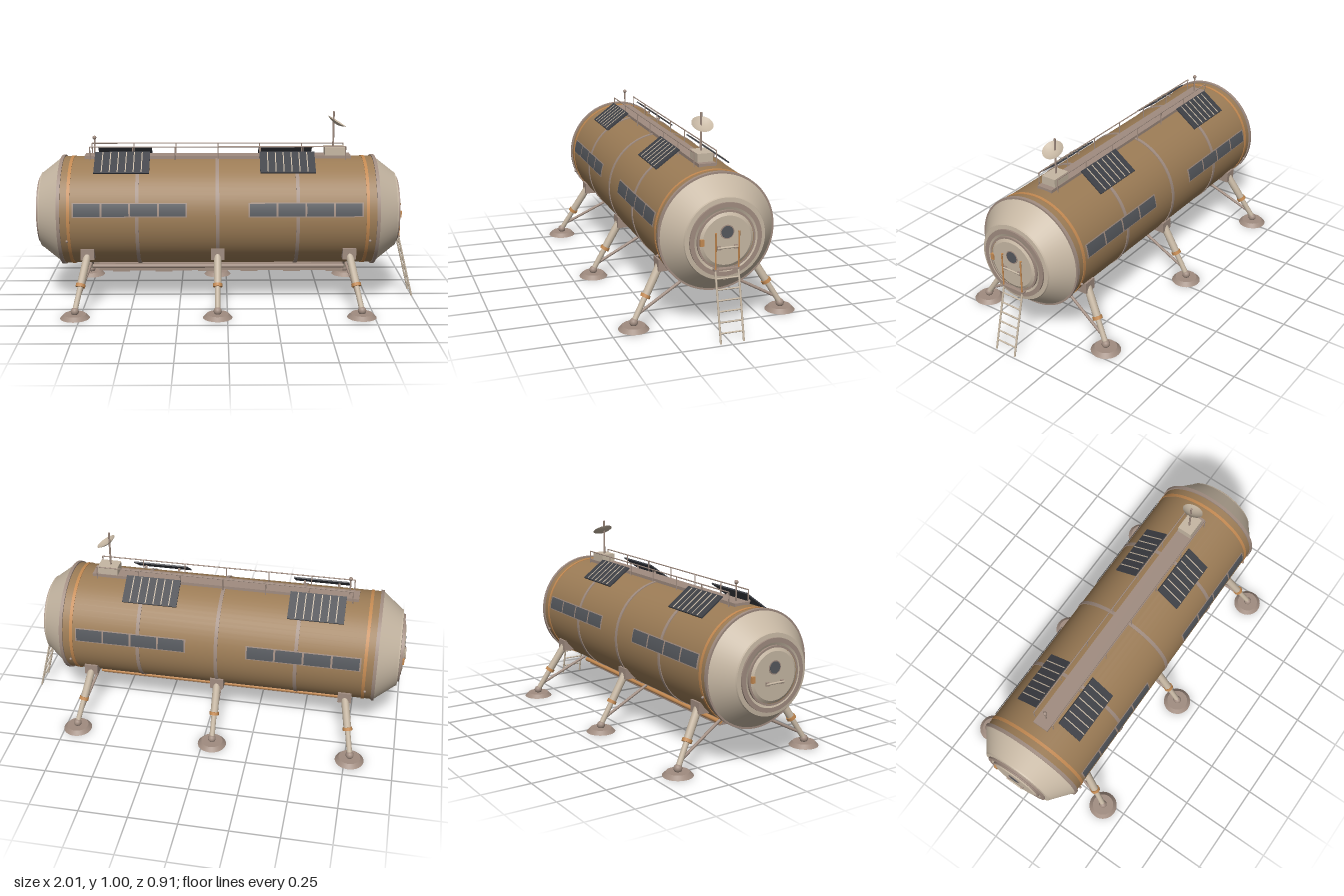
import * as THREE from 'three';

const mat = (name, color, side = THREE.FrontSide) => {
  const m = new THREE.MeshStandardMaterial({ color, side });
  m.name = name;
  return m;
};

export function createModel() {
  const model = new THREE.Group();
  model.name = 'habitatModule';
  const hull = mat('hullTan', 0x9c7c56);
  const cream = mat('creamMetal', 0xc6b7a3, THREE.DoubleSide);
  const trim = mat('trimGrey', 0xa08c80);
  const orange = mat('copperOrange', 0xc48a52);
  const glass = mat('windowGlass', 0x55585d, THREE.DoubleSide);
  const solar = mat('solarCell', 0x3e4046);

  const AXIS = 0.477, R = 0.283, MID = -0.045;
  const V = (x, y, z) => new THREE.Vector3(x, y, z);

  const add = (name, geo, m, parent = model) => {
    const mesh = new THREE.Mesh(geo, m);
    mesh.name = name;
    parent.add(mesh);
    return mesh;
  };
  const box = (name, m, w, h, d, x, y, z, parent) => {
    const b = add(name, new THREE.BoxGeometry(w, h, d), m, parent);
    b.position.set(x, y, z);
    return b;
  };
  const ball = (name, m, r, x, y, z, parent) => {
    const s = add(name, new THREE.SphereGeometry(r, 16, 12), m, parent);
    s.position.set(x, y, z);
    return s;
  };
  // round bar between two points
  const rod = (name, m, a, b, r, parent, r2 = r) => {
    const d = b.clone().sub(a);
    const c = add(name, new THREE.CylinderGeometry(r2, r, d.length(), 14), m, parent);
    c.position.copy(a).addScaledVector(d, 0.5);
    c.quaternion.setFromUnitVectors(V(0, 1, 0), d.normalize());
    return c;
  };
  // drum lying along x
  const drum = (name, m, r, x, width) => {
    const c = add(name, new THREE.CylinderGeometry(r, r, width, 64).rotateZ(Math.PI / 2), m);
    c.position.set(x, AXIS, 0);
    return c;
  };

  // pressure hull and its bands
  drum('hull', hull, R, MID, 1.63);
  [-0.46, -0.05, 0.36].forEach(x => drum('hullRib', trim, R + 0.004, x, 0.018));
  [-0.81, 0.717].forEach(x => drum('copperBand', orange, R + 0.003, x, 0.016));

  // curved plate on the hull, angles measured up from the side
  const plate = (name, m, r, x, w, a0, a1, side) => {
    const start = side > 0 ? a0 : Math.PI - a1;
    const g = new THREE.CylinderGeometry(r, r, w, 8, 1, true, start, a1 - a0).rotateZ(Math.PI / 2);
    add(name, g, m).position.set(x, AXIS, 0);
  };

  for (const side of [1, -1]) {
    // window strips
    for (const x0 of [-0.79, 0.107]) {
      plate('windowFrame', trim, R + 0.003, x0 + 0.293, 0.586, 0.081, 0.343, side);
      for (let i = 0; i < 4; i++)
        plate('windowPane', glass, R + 0.005, x0 + 0.0755 + i * 0.145, 0.135, 0.1, 0.324, side);
    }
    // side lamps
    [-0.82, 0.73].forEach(x => ball('sideLamp', trim, 0.007, x, 0.373, side * 0.275));

    // tilted solar panels
    for (const x of [-0.542, 0.312]) {
      const panel = new THREE.Group();
      panel.name = 'solarPanel';
      panel.position.set(x, 0.754, side * 0.13);
      panel.rotation.x = side * 0.628;
      box('panelBase', solar, 0.285, 0.007, 0.149, 0, 0, 0, panel);
      for (let i = 0; i < 6; i++)
        box('panelStripe', cream, 0.005, 0.003, 0.14, -0.102 + i * 0.0408, 0.004, 0, panel);
      model.add(panel);
      for (const dx of [-0.09, 0.09])
        rod('panelStrut', trim, V(x + dx, 0.715, side * 0.115), V(x + dx, 0.75, side * 0.13), 0.006);
    }

    // walkway railing
    rod('railing', trim, V(-0.715, 0.823, side * 0.057), V(0.62, 0.823, side * 0.057), 0.003);
    for (let i = 0; i < 7; i++) {
      const x = -0.715 + i * 0.2225;
      rod('railingPost', trim, V(x, 0.745, side * 0.057), V(x, 0.823, side * 0.057), 0.0028);
    }

    // service pipe under the belly
    rod('bellyPipe', side > 0 ? trim : orange, V(-0.71, 0.188, side * 0.091), V(0.62, 0.188, side * 0.091), 0.011);

    // landing legs
    for (const [x, footX] of [[-0.72, -0.776], [-0.05, -0.05], [0.63, 0.685]]) {
      const leg = new THREE.Group();
      leg.name = 'landingLeg';
      model.add(leg);
      const top = V(x, 0.295, side * 0.228), foot = V(footX, 0.035, side * 0.38);
      const at = t => top.clone().lerp(foot, t);
      box('legBracket', trim, 0.07, 0.058, 0.06, x, 0.295, side * 0.219, leg);
      rod('upperStrut', cream, top, at(0.56), 0.02, leg);
      rod('strutCollar', orange, at(0.53), at(0.585), 0.025, leg);
      rod('lowerStrut', cream, at(0.56), foot, 0.014, leg);
      rod('legBrace', trim, V(x, 0.205, side * 0.1), at(0.88), 0.0075, leg);
      ball('ankleBall', trim, 0.021, foot.x, 0.034, foot.z, leg);
      const pad = add('footPad', new THREE.CylinderGeometry(0.056, 0.075, 0.02, 32), trim, leg);
      pad.position.set(footX, 0.01, side * 0.38);
    }
  }

  // end caps with docking hatch, built facing +x and turned for the other end
  for (const turn of [0, Math.PI]) {
    const end = new THREE.Group();
    end.name = 'endCap';
    end.position.set(MID, AXIS, 0);
    end.rotation.y = turn;
    model.add(end);
    const lathe = (name, m, pts) => {
      const p = pts.map(([r, d]) => new THREE.Vector2(r, d));
      // one lathe per straight run keeps the edges sharp
      for (let i = 0; i < p.length - 1; i++)
        add(name, new THREE.LatheGeometry([p[i + 1], p[i]].reverse(), 64).rotateZ(-Math.PI / 2), m, end);
    };
    lathe('endFlange', trim, [[0.27, 0.807], [0.29, 0.807], [0.29, 0.824], [0.27, 0.824]]);
    lathe('endCone', cream, [[0.282, 0.822], [0.201, 0.925], [0.198, 0.932], [0.177, 0.934]]);
    lathe('dockingRing', trim, [[0.177, 0.93], [0.177, 0.943], [0.155, 0.943]]);
    lathe('innerRing', cream, [[0.155, 0.943], [0.143, 0.938]]);
    lathe('hatchSeal', trim, [[0.143, 0.938], [0.143, 0.948], [0.133, 0.948]]);
    lathe('hatch', cream, [[0.133, 0.944], [0.118, 0.953], [0, 0.953]]);
    // porthole
    const disc = (name, m, r, x) => {
      const c = add(name, new THREE.CylinderGeometry(r, r, 0.005, 32).rotateZ(Math.PI / 2), m, end);
      c.position.set(x, 0.041, 0);
    };
    disc('portholeRim', trim, 0.034, 0.953);
    disc('porthole', glass, 0.029, 0.9545);
    // handle and hinge
    rod('hatchHandle', cream, V(0.961, -0.032, -0.05), V(0.961, -0.032, 0.05), 0.005, end);
    [-0.042, 0.042].forEach(z => box('handleMount', trim, 0.012, 0.018, 0.016, 0.956, -0.032, z, end));
    box('hatchLatch', orange, 0.012, 0.032, 0.018, 0.952, 0, 0.122, end);
  }

  // boarding ladder
  const ladder = new THREE.Group();
  ladder.name = 'ladder';
  model.add(ladder);
  for (const z of [-0.057, 0.057]) {
    rod('ladderRail', cream, V(0.912, 0.342, z), V(0.995, 0.008, z), 0.005, ladder);
    rod('grabRail', orange, V(0.915, 0.34, z), V(0.915, 0.52, z), 0.004, ladder);
    rod('grabRailMount', orange, V(0.88, 0.515, z), V(0.915, 0.515, z), 0.004, ladder);
  }
  box('ladderStep', trim, 0.035, 0.008, 0.13, 0.902, 0.34, 0, ladder);
  for (let i = 0; i < 6; i++) {
    const y = 0.055 + i * 0.049, x = 0.995 - (y - 0.008) * 0.2485;
    rod('ladderRung', cream, V(x, y, -0.057), V(x, y, 0.057), 0.004, ladder);
  }

  // roof walkway, equipment box and masts
  box('walkway', trim, 1.395, 0.025, 0.085, -0.048, 0.76, 0);
  box('equipmentBox', cream, 0.105, 0.045, 0.078, 0.567, 0.792, 0);
  rod('antennaMast', trim, V(0.56, 0.8, 0), V(0.56, 1, 0), 0.005);
  const dishPts = [];
  for (let i = 0; i <= 8; i++) dishPts.push(new THREE.Vector2(0.054 * i / 8, 0.016 * (i / 8) ** 2 - 0.008));
  const dish = add('antennaDish', new THREE.LatheGeometry(dishPts, 32), cream);
  dish.position.set(0.574, 0.941, 0);
  dish.rotation.z = -0.55;
  rod('beaconMast', trim, V(-0.695, 0.76, 0), V(-0.695, 0.86, 0), 0.004);
  ball('beacon', trim, 0.01, -0.695, 0.863, 0);

  // belly keel with service covers
  box('keelPlate', trim, 1.33, 0.018, 0.11, -0.045, 0.189, 0);
  box('keel', trim, 1.29, 0.04, 0.15, -0.035, 0.178, 0);
  for (let i = 0; i < 6; i++)
    box('serviceCover', trim, 0.09, 0.014, 0.1, -0.565 + i * 0.228, 0.152, 0);

  return model;
}
